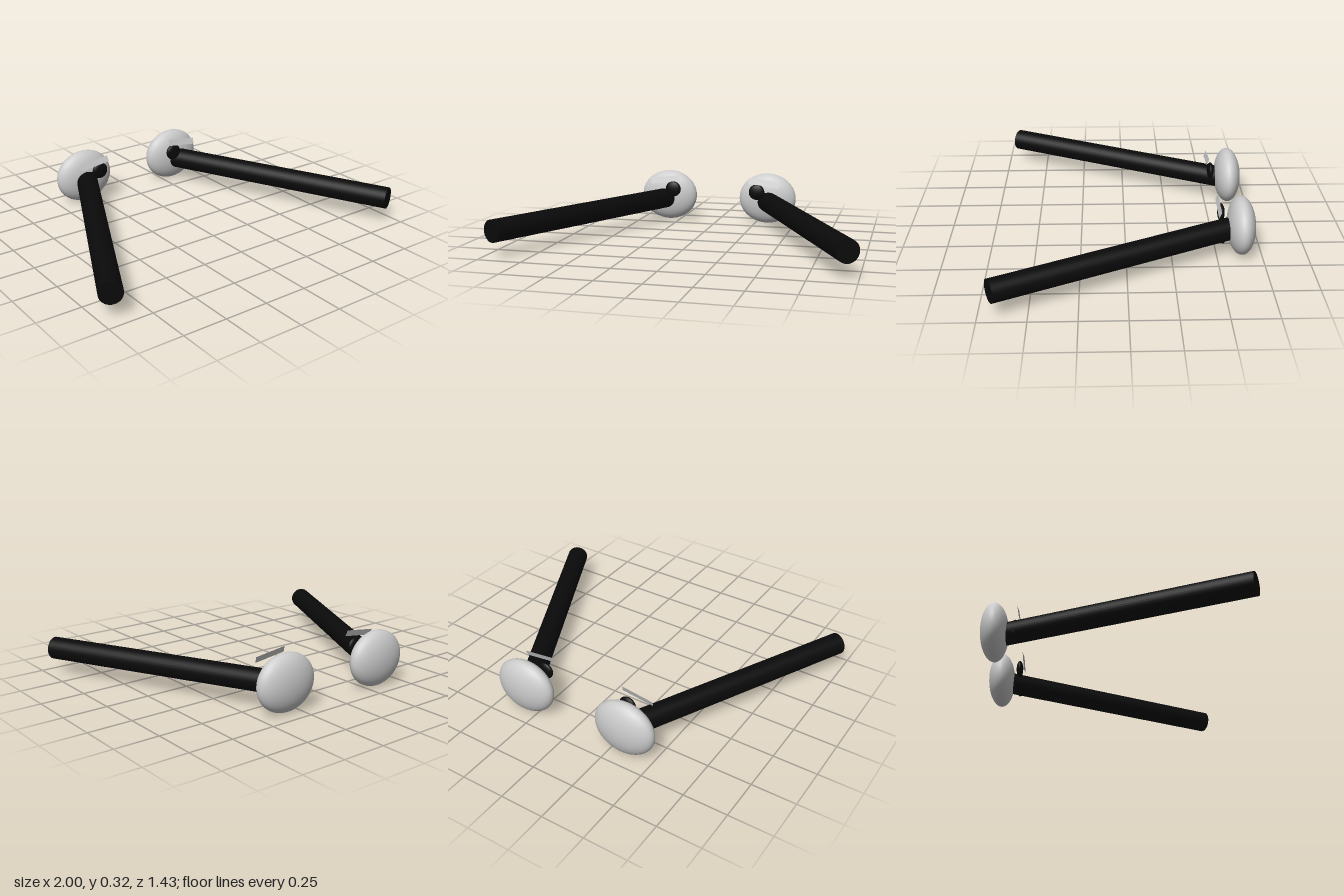
import * as THREE from 'three';

const grey = new THREE.MeshStandardMaterial({ color: 0xcccccc });
const greySheet = new THREE.MeshStandardMaterial({ color: 0xcccccc, side: THREE.DoubleSide });
const black = new THREE.MeshStandardMaterial({ color: 0x0a0a0a });

function add(parent, name, geometry, material, x, y, z) {
  const mesh = new THREE.Mesh(geometry, material);
  mesh.name = name;
  mesh.position.set(x, y, z);
  parent.add(mesh);
  return mesh;
}

// One eye with its stalk; s = 1 for the left (+x), -1 for the right
function createEye(s) {
  const eye = new THREE.Group();
  eye.name = s > 0 ? 'leftEye' : 'rightEye';

  // Flattened eyeball
  add(eye, 'eyeball', new THREE.SphereGeometry(1, 48, 32), grey, s * 0.324, 0.162, -0.635)
    .scale.set(0.181, 0.159, 0.078);

  // Straight stalk running outwards and forwards from the eyeball
  const back = new THREE.Vector3(s * 0.327, 0.147, -0.595);
  const front = new THREE.Vector3(s * 0.943, 0.147, 0.685);
  const direction = front.clone().sub(back);
  const middle = back.clone().add(front).multiplyScalar(0.5);
  add(eye, 'stalk', new THREE.CylinderGeometry(0.063, 0.063, direction.length(), 32), black, ...middle.toArray())
    .quaternion.setFromUnitVectors(new THREE.Vector3(0, 1, 0), direction.normalize());

  // Two flattened pupil beads, set diagonally in front of the eyeball
  for (const [x, y] of [[0.272, 0.215], [0.377, 0.132]]) {
    add(eye, 'pupil', new THREE.SphereGeometry(1, 32, 20), black, s * x, y, -0.527)
      .scale.set(0.05, 0.049, 0.02);
  }

  // Thin tilted eyelid, higher on the inner side
  const lid = add(eye, 'eyelid', new THREE.PlaneGeometry(0.191, 0.038), greySheet, s * 0.32, 0.278, -0.506);
  lid.rotation.set(-0.36, 0, -s * 0.127, 'ZXY');

  return eye;
}

export function createModel() {
  const model = new THREE.Group();
  model.name = 'stalkedEyes';
  for (const s of [1, -1]) model.add(createEye(s));
  return model;
}
